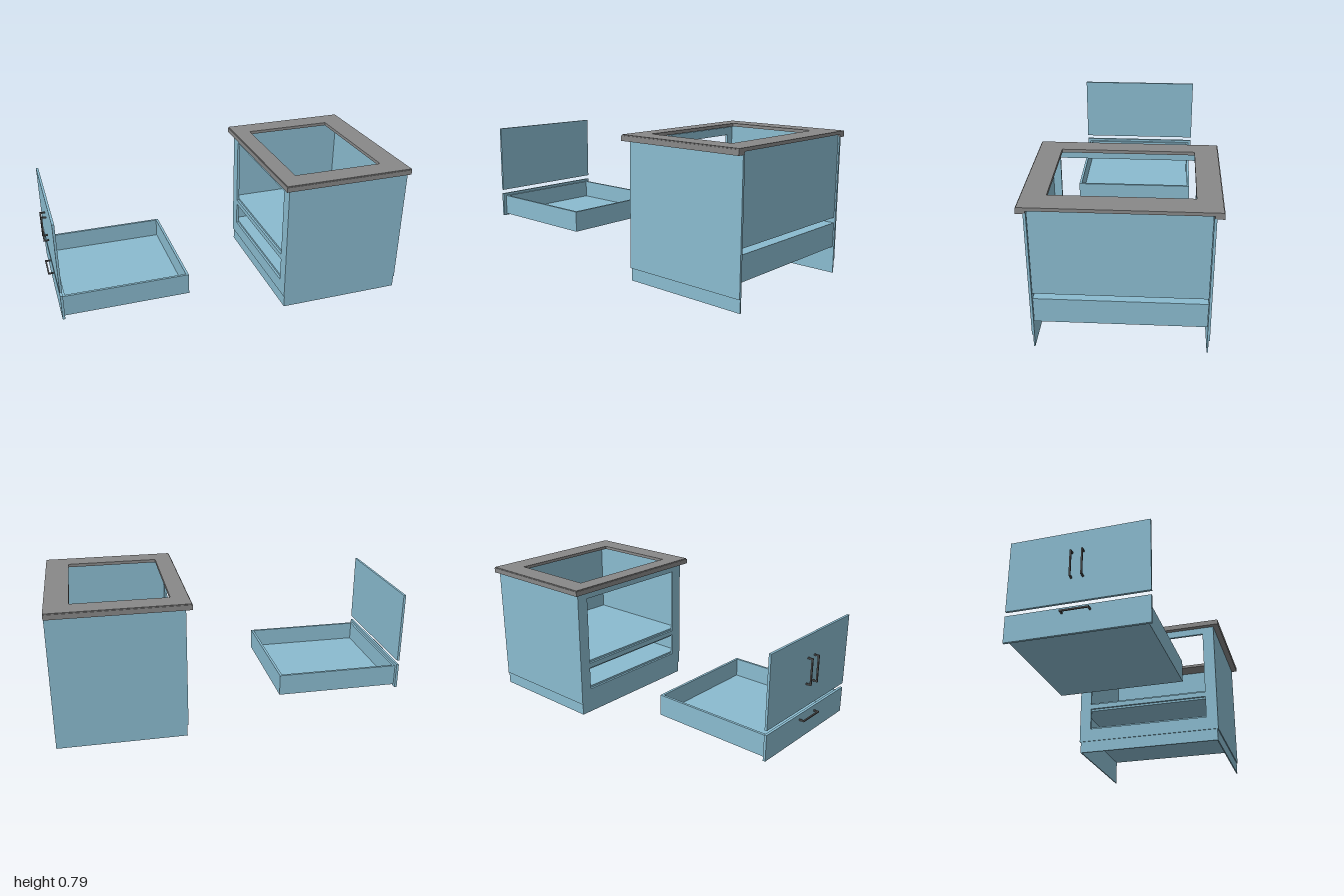
import * as THREE from 'three';

const blue = new THREE.MeshStandardMaterial({ color: 0x8abbcf });
const grey = new THREE.MeshStandardMaterial({ color: 0x888888 });
const dark = new THREE.MeshStandardMaterial({ color: 0x555555 });

// box given by its lower and upper corners
function box(parent, name, mat, [x0, y0, z0], [x1, y1, z1]) {
  const mesh = new THREE.Mesh(new THREE.BoxGeometry(x1 - x0, y1 - y0, z1 - z0), mat);
  mesh.position.set((x0 + x1) / 2, (y0 + y1) / 2, (z0 + z1) / 2);
  mesh.name = name;
  parent.add(mesh);
  return mesh;
}

function rect(Type, u0, v0, u1, v1) {
  const p = new Type();
  p.moveTo(u0, v0).lineTo(u1, v0).lineTo(u1, v1).lineTo(u0, v1).closePath();
  return p;
}

// flat plate with rectangular holes
function plate(outer, holes, depth) {
  const shape = rect(THREE.Shape, ...outer);
  holes.forEach(h => shape.holes.push(rect(THREE.Path, ...h)));
  return new THREE.ExtrudeGeometry(shape, { depth, bevelEnabled: false });
}

function group(parent, name) {
  const g = new THREE.Group();
  g.name = name;
  parent.add(g);
  return g;
}

// bar handle with two posts, along y or z
function handle(parent, name, y, z, vertical) {
  const g = group(parent, name), t = 0.004, h = 0.075;
  const hy = vertical ? h : t, hz = vertical ? t : h;
  box(g, 'grip', dark, [-1, y - hy, z - hz], [-0.992, y + hy, z + hz]);
  for (const s of [-1, 1]) {
    const py = y + (vertical ? s * (h - t) : 0), pz = z + (vertical ? 0 : s * (h - t));
    box(g, 'post', dark, [-0.993, py - t, pz - t], [-0.967, py + t, pz + t]);
  }
}

export function createModel() {
  const model = new THREE.Group();
  model.name = 'cabinetWithDrawer';

  // outer shell, open at the rear and underneath
  const cabinet = group(model, 'cabinet');
  const face = new THREE.Mesh(plate([-0.44, 0.07, 0.44, 0.76],
    [[-0.37, 0.315, 0.37, 0.715], [-0.37, 0.15, 0.37, 0.285]], 0.015)
    .rotateY(-Math.PI / 2).translate(0.295, 0, 0), blue);
  face.name = 'faceFrame';
  cabinet.add(face);
  for (const s of [-1, 1]) {
    const zs = (a, b) => [Math.min(s * a, s * b), Math.max(s * a, s * b)];
    const [a, b] = zs(0.427, 0.44), [c, d] = zs(0.427, 0.434);
    box(cabinet, 'sidePanel', blue, [0.29, 0.07, a], [1, 0.76, b]);
    box(cabinet, 'kickSide', blue, [0.287, 0, c], [1, 0.075, d]);
  }
  box(cabinet, 'kickFront', blue, [0.285, 0, -0.434], [0.295, 0.075, 0.434]);

  // inner compartments, open toward the face frame
  function compartment(name, y0, y1, closedTop) {
    const g = group(cabinet, name), t = 0.012, w = 0.425, x0 = 0.293, x1 = 0.993;
    box(g, 'floor', blue, [x0, y0, -w], [x1, y0 + t, w]);
    box(g, 'back', blue, [x1 - t, y0, -w], [x1, y1, w]);
    box(g, 'wall', blue, [x0, y0, -w], [x1, y1, -w + t]);
    box(g, 'wall', blue, [x0, y0, w - t], [x1, y1, w]);
    if (closedTop) box(g, 'ceiling', blue, [x0, y1 - t, -w], [x1, y1, w]);
  }
  compartment('upperCompartment', 0.315, 0.772, false);
  compartment('lowerCompartment', 0.15, 0.285, true);

  // countertop with a cut-out and a slightly stepped top edge
  const counter = group(model, 'countertop');
  const hole = [0.35, -0.35, 0.87, 0.35];
  for (const [inset, y, h] of [[0, 0.772, 0.013], [0.004, 0.785, 0.005]]) {
    const slab = new THREE.Mesh(plate([0.25 + inset, -0.475 + inset, 1, 0.475 - inset], [hole], h)
      .rotateX(-Math.PI / 2).translate(0, y, 0), grey);
    slab.name = 'slab';
    counter.add(slab);
  }
  box(counter, 'apron', grey, [0.25, 0.757, -0.475], [0.285, 0.772, 0.475]);
  box(counter, 'apron', grey, [0.285, 0.757, -0.475], [1, 0.772, -0.43]);
  box(counter, 'apron', grey, [0.285, 0.757, 0.43], [1, 0.772, 0.475]);

  // pulled-out drawer
  const drawer = group(model, 'drawer');
  const t = 0.014, x0 = -0.957, x1 = -0.262, y0 = 0.155, y1 = 0.275, w = 0.35;
  box(drawer, 'drawerFront', blue, [-0.97, 0.145, -0.37], [-0.956, 0.29, 0.37]);
  box(drawer, 'drawerBottom', blue, [x0, y0, -w], [x1, y0 + t, w]);
  box(drawer, 'drawerEnd', blue, [x0, y0, -w], [x0 + t, y1, w]);
  box(drawer, 'drawerEnd', blue, [x1 - t, y0, -w], [x1, y1, w]);
  box(drawer, 'drawerSide', blue, [x0, y0, -w], [x1, y1, -w + t]);
  box(drawer, 'drawerSide', blue, [x0, y0, w - t], [x1, y1, w]);
  handle(drawer, 'drawerHandle', 0.26, 0, false);

  // detached door with a pair of handles
  const door = group(model, 'door');
  box(door, 'doorPanel', blue, [-0.97, 0.315, -0.37], [-0.957, 0.715, 0.37]);
  for (const s of [-1, 1]) handle(door, 'doorHandle', 0.52, s * 0.03, true);

  return model;
}
